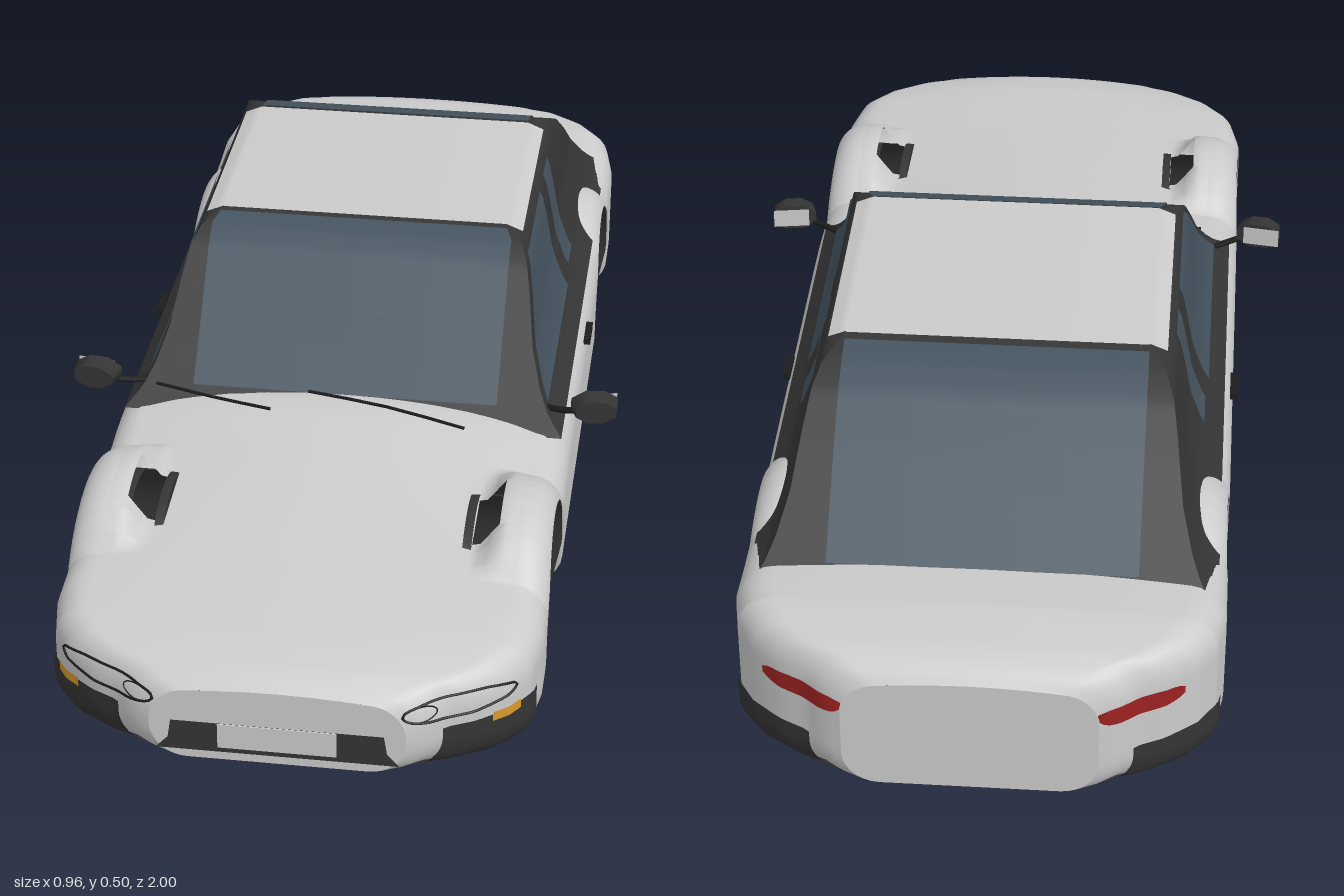
import * as THREE from 'three';

const GREY = 0xcccccc, DARK = 0x353535, BLACK = 0x1c1c1c, GLASS = 0x44535f, RED = 0x9c2222, AMBER = 0xd89a2c;

const lerp = THREE.MathUtils.lerp, smooth = THREE.MathUtils.smoothstep;
const steps = (a, b, n) => Array.from({ length: n + 1 }, (_, i) => lerp(a, b, i / n));

// Straight interpolation through [position, value] pairs
function key(pairs, t) {
  if (t <= pairs[0][0]) return pairs[0][1];
  for (let i = 1; i < pairs.length; i++) {
    const [a, p] = pairs[i - 1], [b, q] = pairs[i];
    if (t <= b) return lerp(p, q, (t - a) / (b - a));
  }
  return pairs[pairs.length - 1][1];
}

// Body rules: plan width, edge height, centre height, underside height along z
const PLAN = [[0.78, 0.4], [0.85, 0.387], [0.9, 0.355], [0.94, 0.305], [0.96, 0.265], [0.985, 0.235], [1, 0.205]];
const EDGE = [[-1, 0.24], [-0.98, 0.262], [-0.94, 0.272], [-0.85, 0.278], [-0.7, 0.262], [-0.4, 0.247], [0.2, 0.248],
  [0.3, 0.245], [0.42, 0.226], [0.7, 0.21], [0.85, 0.198], [0.95, 0.183], [0.98, 0.175], [1, 0.163]];
const CENTRE = [[-1, 0.248], [-0.98, 0.268], [-0.94, 0.28], [-0.85, 0.286], [-0.7, 0.272], [-0.4, 0.25], [0.2, 0.26],
  [0.27, 0.28], [0.5, 0.252], [0.7, 0.228], [0.9, 0.207], [0.96, 0.195], [0.98, 0.186], [1, 0.17]];
const WHEELS = [0.547, -0.54], WELL_R = 0.163, WELL_Y = 0.085, WELL_X = 0.25;

const width = z => key(PLAN, Math.abs(z));
const under = z => 0.035 * smooth(Math.abs(z), 0.78, 1);
const edge = z => key(EDGE, z);
const topEdge = z => Math.max(edge(z), ...WHEELS.map(c => 0.085 + Math.sqrt(Math.max(0, 0.04 - (z - c) ** 2))));
const innerX = z => width(z) - 0.06;
const wheelAt = z => WHEELS.find(c => Math.abs(z - c) <= WELL_R + 1e-6);
const archY = (z, c) => WELL_Y + Math.sqrt(Math.max(0, WELL_R ** 2 - (z - c) ** 2));
const lowY = z => { const c = wheelAt(z); return c === undefined ? under(z) : archY(z, c); };
const inset = d => 0.06 * (1 - Math.sqrt(Math.max(0, 1 - Math.max(0, 1 - d / 0.06) ** 2)));
const sideX = (z, y) => width(z) - inset(Math.max(0, topEdge(z) - y)) - inset(Math.max(0, y - under(z)));
function topY(x, z) {
  const h = edge(z), crown = (key(CENTRE, z) - h) * (1 - (x / innerX(z)) ** 2);
  return h + crown + (topEdge(z) - h) * smooth(Math.abs(x), 0.27, 0.32);
}
// z of the rounded nose or tail at a given x, y
function endZ(s, x, y) {
  let a = 0.78, b = 1;
  for (let i = 0; i < 24; i++) {
    const m = (a + b) / 2;
    if (sideX(s * m, y) > x) a = m; else b = m;
  }
  return s * a;
}

// Cabin rules by height
const CAB_X = [[0.24, 0.385], [0.27, 0.356], [0.3, 0.34], [0.35, 0.322], [0.42, 0.309], [0.46, 0.3], [0.485, 0.285], [0.497, 0.255]];
const CAB_F = [[0.24, 0.295], [0.27, 0.26], [0.33, 0.2], [0.46, 0.08], [0.487, 0.035], [0.497, 0]];
const CAB_R = [[0.24, -0.79], [0.27, -0.75], [0.4, -0.6], [0.46, -0.52], [0.487, -0.46], [0.497, -0.41]];

export function createModel() {
  const car = new THREE.Group();
  car.name = 'car';
  const mats = {};
  const mat = c => mats[c] ??= new THREE.MeshStandardMaterial({ color: c, side: THREE.DoubleSide });
  function add(name, color, geo, x = 0, y = 0, z = 0) {
    const m = new THREE.Mesh(geo, mat(color));
    m.name = name;
    m.position.set(x, y, z);
    car.add(m);
    return m;
  }
  // Smooth surface from a rule over two lists of parameters, with optional holes
  function sheet(name, color, us, vs, fn, hole) {
    const pos = [], idx = [], n = vs.length;
    for (const u of us) for (const v of vs) pos.push(...fn(u, v));
    for (let i = 0; i + 1 < us.length; i++) for (let j = 0; j + 1 < n; j++) {
      if (hole && hole((us[i] + us[i + 1]) / 2, (vs[j] + vs[j + 1]) / 2)) continue;
      const a = i * n + j;
      idx.push(a, a + n, a + 1, a + 1, a + n, a + n + 1);
    }
    const g = new THREE.BufferGeometry();
    g.setAttribute('position', new THREE.Float32BufferAttribute(pos, 3));
    g.setIndex(idx);
    g.computeVertexNormals();
    return add(name, color, g);
  }
  const rod = (name, pts, r, closed = false) => add(name, BLACK, new THREE.TubeGeometry(
    new THREE.CatmullRomCurve3(pts.map(p => new THREE.Vector3(...p)), closed), closed ? 48 : 4, r, 5, closed));

  // Stations along the body, closer together at the ends and arches
  const zs = [...steps(-1, 1, 50), 0.5, 0.62];
  for (const [z] of PLAN) zs.push(z, -z);
  for (const z of [0.87, 0.925, 0.95, 0.97, 0.993]) zs.push(z, -z);
  for (const c of WHEELS) {
    zs.push(c - WELL_R - 0.0008, c + WELL_R + 0.0008);
    for (let k = 0; k <= 20; k++) zs.push(c + WELL_R * Math.cos(k * Math.PI / 20));
  }
  zs.sort((a, b) => a - b);
  const stations = zs.filter((z, i) => i === 0 || z - zs[i - 1] > 1e-5);
  const eased = steps(0, 1, 18).map(t => (1 - Math.cos(Math.PI * t)) / 2);

  // Bonnet, wings and boot top in one skin, with a vent beside each front wing
  const half = [0.2, 0.4, 0.6, 0.72, 0.78, 0.82, 0.865, 0.912, 0.95, 1];
  const across = [...half.map(f => -f).reverse(), 0, ...half];
  const isVent = (z, f) => z > 0.5 && z < 0.62 && Math.abs(f) > 0.78 && Math.abs(f) < 0.912;
  sheet('bodyTop', GREY, stations, across, (z, f) => [f * innerX(z), topY(f * innerX(z), z), z], isVent);

  // Underside, notched at the wheel wells
  sheet('underside', BLACK, stations, [-1, 0, 1], (z, f) =>
    [f * (wheelAt(z) === undefined ? sideX(z, under(z)) : WELL_X), under(z) + 0.001, z]);

  // Nose and tail panels
  for (const s of [1, -1]) sheet(s > 0 ? 'nosePanel' : 'tailPanel', GREY, steps(-1, 1, 10), eased, (f, v) => {
    const y = lerp(under(s), topY(f * innerX(s), s), v);
    return [f * sideX(s, Math.min(y, topEdge(s))), y, s];
  });

  for (const s of [1, -1]) {
    const side = s > 0 ? 'left' : 'right';
    // Body side with open wheel arches
    sheet(side + 'BodySide', GREY, stations, eased, (z, v) => {
      const y = lerp(lowY(z), topEdge(z), v);
      return [s * sideX(z, y), y, z];
    });
    // Wheel wells
    for (const c of WHEELS) {
      const front = c > 0, end = front ? 'Front' : 'Rear';
      const arc = [-1.001, ...steps(0, Math.PI, 24), 5];
      const xs = [WELL_X, 0.265, 0.31, 0.35, 1];
      const at = a => a < 0 ? [c + WELL_R, 0.005] : a > 4 ? [c - WELL_R, 0.005]
        : [c + WELL_R * Math.cos(a), WELL_Y + WELL_R * Math.sin(a)];
      sheet(side + end + 'WheelLiner', DARK, arc, xs, (a, x) => {
        const [z, y] = at(a);
        return [s * (x === 1 ? sideX(z, Math.max(y, 0.02)) - 0.002 : x), y, z];
      }, (a, x) => front && x > 0.265 && x < 0.31 && a > 0.9 && a < 2);
      sheet(side + end + 'WellWall', front ? DARK : 0x5c5957, steps(0, Math.PI, 24), [0, 1], (a, v) => {
        const [z, y] = at(a);
        return [s * WELL_X, lerp(0.005, y, v), z];
      });
      if (!front) add('rearWellSill', BLACK, new THREE.BoxGeometry(0.02, 0.05, 2 * WELL_R), s * WELL_X, 0.028, c);
    }
    // Dark bumper corners
    for (const e of [1, -1]) sheet(side + (e > 0 ? 'Front' : 'Rear') + 'Bumper', DARK, steps(0.83, 0.968, 16),
      eased, (z, v) => {
        const y = lerp(under(z), 0.11, v);
        return [s * (sideX(z, y) + 0.004), y, e * (z + 0.004)];
      });

    // Headlamp lens edge and inner lamp rim
    const ring = (cx, cy, rx, ry) => steps(0, 2 * Math.PI, 24).slice(0, -1).map(a => {
      const x = cx + rx * Math.cos(a), y = cy + ry * Math.sin(a);
      return [s * x, y, Math.min(endZ(1, x, y) + 0.002, 0.997)];
    });
    rod(side + 'HeadlampRim', ring(0.282, 0.143, 0.085, 0.018), 0.0022, true);
    rod(side + 'HeadlampInnerRim', ring(0.225, 0.143, 0.025, 0.012), 0.0012, true);
    // Indicator and tail lamp
    sheet(side + 'Indicator', AMBER, steps(0.33, 0.37, 5), [0.1, 0.108, 0.117], (x, y) =>
      [s * (x + 0.004), y, endZ(1, x, y) + 0.008]);
    sheet(side + 'TailLamp', RED, steps(0.2, 0.335, 14), steps(-1, 1, 6), (x, v) => {
      const y = 0.194 + 0.017 * v * Math.sqrt(Math.max(0.05, 1 - ((x - 0.2675) / 0.07) ** 4));
      return [s * (x + 0.003), y, Math.max(endZ(-1, x, y) - 0.004, -0.9995)];
    });

    // Cabin side and its windows
    const cab = (y, t, out = 0) => [s * (key(CAB_X, y) + out), y, lerp(key(CAB_R, y), key(CAB_F, y), t)];
    sheet(side + 'CabinSide', DARK, steps(0.24, 0.497, 30), steps(0, 1, 12), (y, t) => cab(y, t));
    sheet(side + 'DoorGlass', GLASS, steps(0.276, 0.468, 14), steps(0, 1, 8), (y, t) =>
      [s * (key(CAB_X, y) + 0.003), y, lerp(-0.195, key(CAB_F, y) - 0.022, t)]);
    sheet(side + 'QuarterGlass', GLASS, steps(0.285, 0.468, 12), [-0.335, -0.26], (y, z) =>
      [s * (key(CAB_X, y) + 0.003), y, z]);

    // Door handle and mirror
    add(side + 'DoorHandle', BLACK, new THREE.BoxGeometry(0.012, 0.012, 0.065), s * 0.401, 0.213, -0.128);
    const mirror = add(side + 'Mirror', DARK, new THREE.CylinderGeometry(0.5, 0.43, 1, 8, 1), s * 0.44, 0.289, 0.265);
    mirror.geometry.rotateY(Math.PI / 8).rotateX(-Math.PI / 2).scale(0.088, 0.052, 0.035);
    mirror.rotation.y = s * 0.15;
    const face = add(side + 'MirrorFace', GREY, new THREE.PlaneGeometry(0.066, 0.036), s * 0.443, 0.289, 0.245);
    face.rotation.y = Math.PI + s * 0.15;
    rod(side + 'MirrorArm', [[s * 0.35, 0.268, 0.235], [s * 0.38, 0.272, 0.25], [s * 0.415, 0.28, 0.262]], 0.006);
  }

  // Cabin ends, windscreen and rear window
  for (const [name, rule, s, w] of [['windscreen', CAB_F, 1, 0.268], ['rearWindow', CAB_R, -1, 0.255]]) {
    sheet(name + 'Frame', DARK, steps(0.24, 0.497, 30), steps(-1, 1, 8), (y, f) => [f * key(CAB_X, y), y, key(rule, y)]);
    sheet(name, GLASS, steps(0.274, 0.494, 24), steps(-1, 1, 4), (y, f) =>
      [f * Math.min(w, key(CAB_X, y) - 0.005), y + 0.002, key(rule, y) + s * 0.003]);
  }
  // Roof panel
  const roofX = [-0.285, -0.27, -0.255, -0.12, 0, 0.12, 0.255, 0.27, 0.285];
  sheet('roof', GREY, [-0.412, -0.2, 0.005], roofX, (z, x) =>
    [x, 0.5 - Math.max(0, Math.abs(x) - 0.255) * 0.42, z]);

  // Front intake and blank plate
  const intake = new THREE.Shape([[-0.195, 0.05], [0.195, 0.05], [0.175, 0.072], [0.17, 0.105], [-0.17, 0.105], [-0.175, 0.072]]
    .map(p => new THREE.Vector2(...p)));
  add('intake', DARK, new THREE.ShapeGeometry(intake), 0, 0, 1.001);
  add('plate', GREY, new THREE.BoxGeometry(0.19, 0.045, 0.004), 0, 0.082, 1.001);

  // Wipers
  rod('rightWiper', [[-0.33, 0.283, 0.275], [-0.22, 0.277, 0.3], [-0.12, 0.277, 0.325]], 0.003);
  rod('leftWiper', [[-0.06, 0.288, 0.275], [0.08, 0.283, 0.3], [0.22, 0.272, 0.335]], 0.003);
  return car;
}
